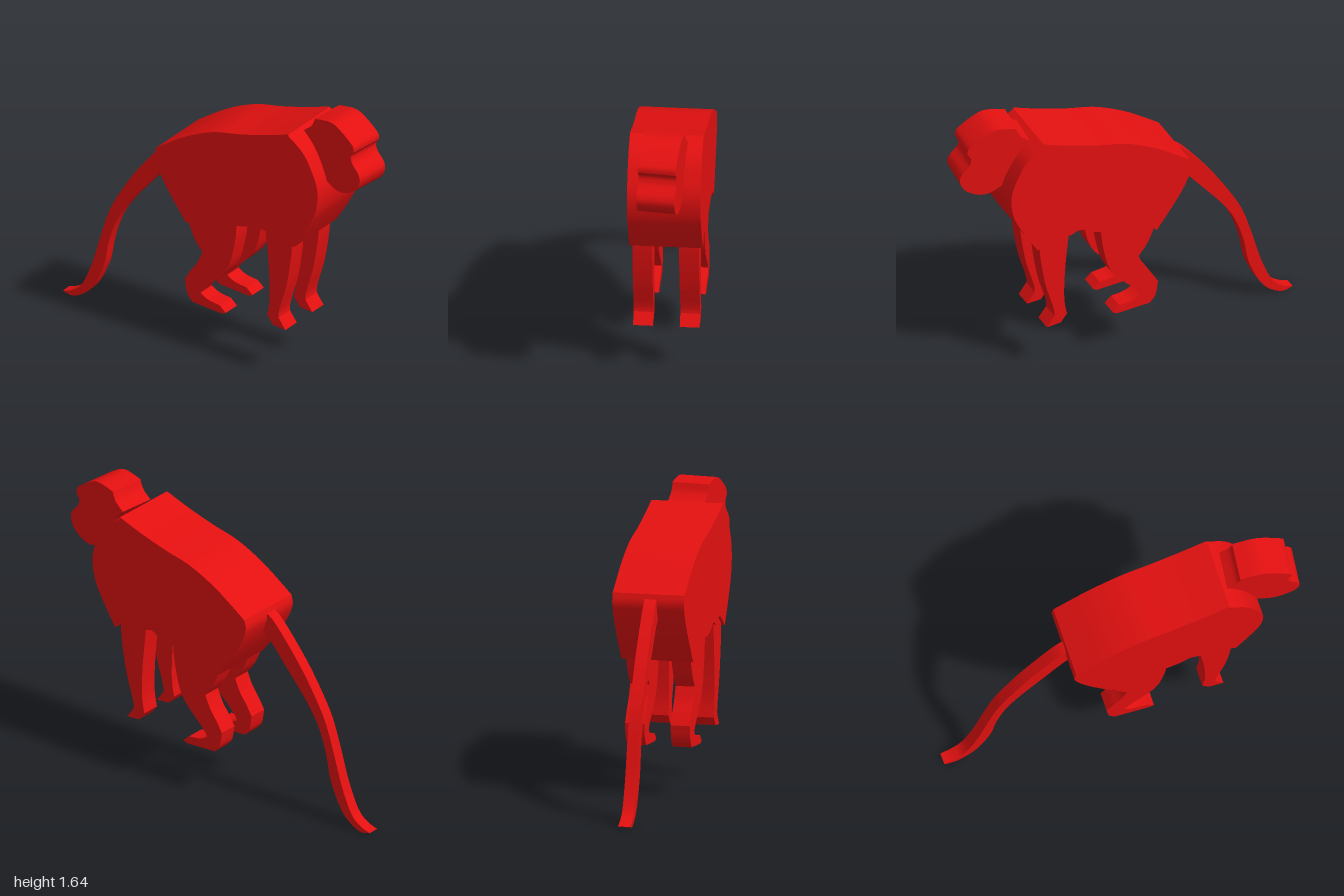
import * as THREE from 'three';
import { toCreasedNormals } from 'three/addons/utils/BufferGeometryUtils.js';

const red = new THREE.MeshStandardMaterial({ color: 0xe31010 });

// Side outline made of smooth runs that meet in sharp corners; points are [z, y].
function outline(runs, toLocal) {
  const pts = runs.map((run) => run.map(([z, y]) => new THREE.Vector2(toLocal(z), y)));
  const shape = new THREE.Shape();
  shape.moveTo(pts[0][0].x, pts[0][0].y);
  for (const run of pts) {
    if (run.length === 1) shape.lineTo(run[0].x, run[0].y);
    else shape.splineThru(run);
  }
  shape.closePath();
  return shape;
}

// A cut-out slab turned about y: the outline lies on its +x face, the thickness runs inward.
function slab({ runs, anchor: [x0, z0], angle, width, inset = 0 }) {
  const toLocal = (z) => (z - z0 - inset * Math.sin(angle)) / Math.cos(angle);
  let geo = new THREE.ExtrudeGeometry(outline(runs, toLocal), {
    depth: width, bevelEnabled: false, curveSegments: 4,
  });
  geo.rotateY(-Math.PI / 2);
  geo = toCreasedNormals(geo, 0.55);
  return (name, offset = inset) => {
    const part = new THREE.Group();
    part.name = name;
    part.position.set(x0, 0, z0);
    part.rotation.y = angle;
    const mesh = new THREE.Mesh(geo, red);
    mesh.name = name + 'Slab';
    mesh.position.x = -offset;
    part.add(mesh);
    return part;
  };
}

export function createModel() {
  const model = new THREE.Group();
  model.name = 'monkey';
  const trunk = { anchor: [0.4, 0.665], angle: THREE.MathUtils.degToRad(17.5) };

  // Body: back, rump, arched underside, chest
  const body = slab({
    ...trunk, width: 0.41,
    runs: [
      [[0.475, 1.59], [0.33, 1.54], [0.17, 1.495], [0, 1.455], [-0.18, 1.37], [-0.367, 1.243]],
      [[-0.374, 1.17], [-0.31, 1.03], [-0.175, 0.83]],
      [[-0.1, 0.89], [0.01, 0.922], [0.14, 0.912]],
      [[0.21, 0.93], [0.27, 0.962], [0.33, 0.94]],
      [[0.41, 0.97], [0.52, 0.897]],
      [[0.6, 1.03], [0.66, 1.16], [0.672, 1.3], [0.625, 1.43], [0.57, 1.515], [0.475, 1.59]],
    ],
  });
  model.add(body('body'));

  // Head: crown, brow, muzzle, chin, neck
  const head = slab({
    anchor: [0.36, 0.95], angle: THREE.MathUtils.degToRad(11.5), width: 0.215,
    runs: [
      [[0.635, 1.678], [0.74, 1.695], [0.81, 1.672], [0.903, 1.605], [0.914, 1.564]],
      [[0.893, 1.532], [0.903, 1.49], [0.946, 1.44], [0.957, 1.393], [0.925, 1.33],
        [0.85, 1.288], [0.786, 1.286], [0.716, 1.32]],
      [[0.69, 1.393], [0.625, 1.51], [0.555, 1.58]],
      [[0.61, 1.625], [0.635, 1.678]],
    ],
  });
  model.add(head('head'));

  // Legs: one of each pair near either flank
  const legs = {
    FrontLeg: [
      [[0.49, 1.04], [0.507, 0.895], [0.475, 0.655], [0.425, 0.47], [0.42, 0.415]],
      [[0.464, 0.352]],
      [[0.383, 0.36]],
      [[0.346, 0.41]],
      [[0.362, 0.52], [0.357, 0.71], [0.335, 0.94]],
      [[0.34, 1.04]],
    ],
    HindLeg: [
      [[0.13, 1.0], [0.147, 0.9], [0.13, 0.76], [0.08, 0.6], [-0.055, 0.457], [-0.085, 0.412]],
      [[-0.035, 0.385], [0.04, 0.373]],
      [[0.078, 0.337]],
      [[0.055, 0.325]],
      [[-0.137, 0.34]],
      [[-0.17, 0.385], [-0.185, 0.47]],
      [[-0.15, 0.53], [-0.105, 0.595], [-0.072, 0.67]],
      [[-0.125, 0.745], [-0.165, 0.84]],
      [[-0.1, 1.0]],
    ],
  };
  for (const [name, runs] of Object.entries(legs)) {
    const leg = slab({ ...trunk, runs, width: 0.11, inset: 0.025 });
    model.add(leg('left' + name), leg('right' + name, 0.285));
  }

  // Tail: long taper with an upturned tip
  const tail = slab({
    anchor: [-0.345, -1.0], angle: THREE.MathUtils.degToRad(19.4), width: 0.068,
    runs: [
      [[-0.3, 1.225], [-0.373, 1.174], [-0.528, 0.976], [-0.635, 0.805], [-0.705, 0.666],
        [-0.759, 0.495], [-0.812, 0.307], [-0.877, 0.15], [-0.94, 0.092], [-0.998, 0.07]],
      [[-0.925, 0.06], [-0.823, 0.136], [-0.742, 0.307], [-0.71, 0.468], [-0.657, 0.628],
        [-0.576, 0.762], [-0.44, 0.933], [-0.346, 1.05], [-0.27, 1.12]],
    ],
  });
  model.add(tail('tail'));
  return model;
}
